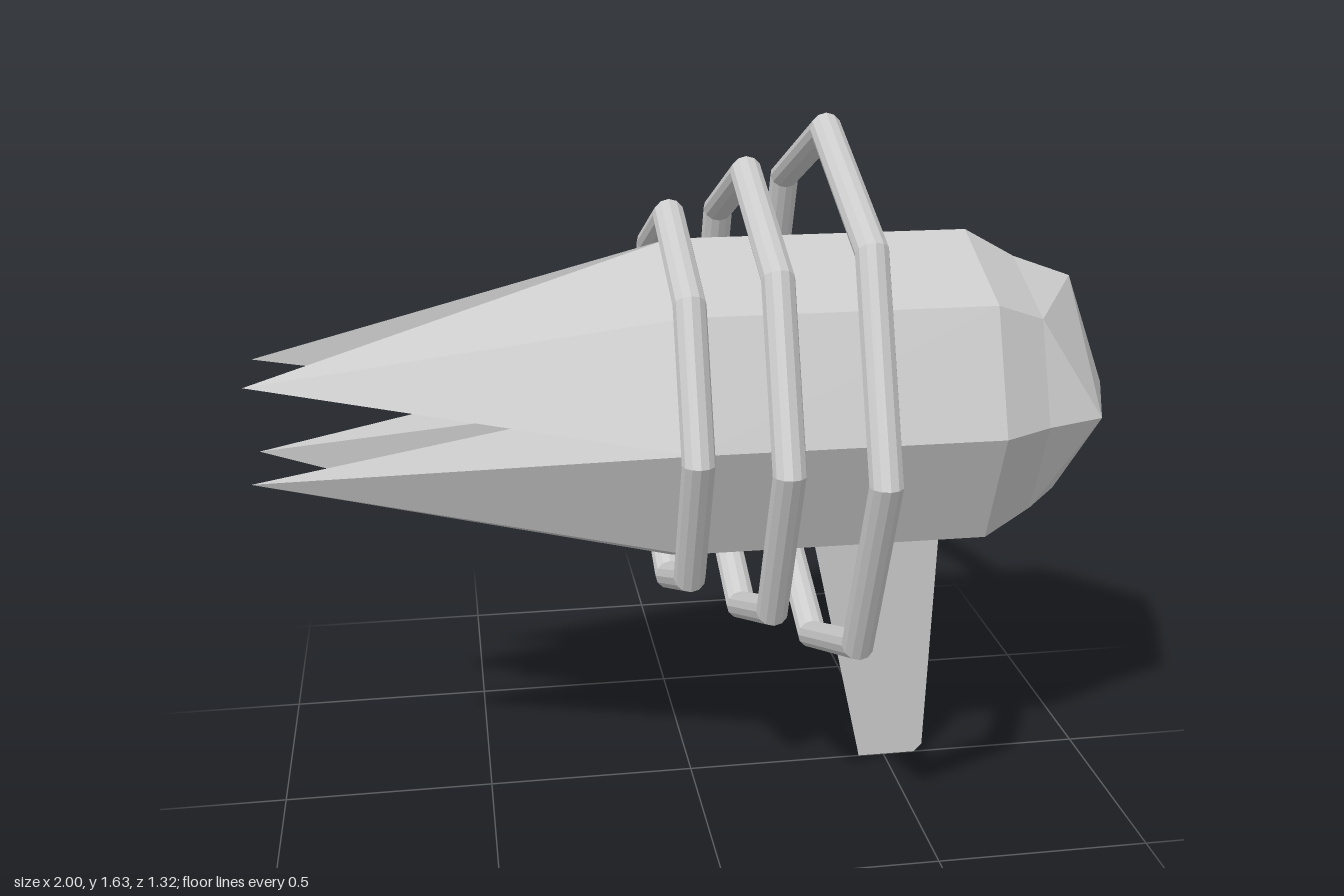
import * as THREE from 'three';

const material = new THREE.MeshStandardMaterial({ color: 0xcccccc, flatShading: true, side: THREE.DoubleSide });
const AXIS_Y = 0.975;

// Faceted mesh from a list of triangles, each three [x, y, z] corners
function facetMesh(name, triangles) {
  const geometry = new THREE.BufferGeometry();
  geometry.setAttribute('position', new THREE.Float32BufferAttribute(triangles.flat(2), 3));
  geometry.computeVertexNormals();
  const mesh = new THREE.Mesh(geometry, material);
  mesh.name = name;
  return mesh;
}

// Regular ring of points around the long x axis
function ring(x, radius, count) {
  return Array.from({ length: count }, (_, i) => {
    const a = (i / count) * Math.PI * 2;
    return [x, radius * Math.cos(a), radius * Math.sin(a)];
  });
}

// Triangles joining two loops of equal length
function bridge(a, b) {
  return a.flatMap((p, i) => {
    const j = (i + 1) % a.length;
    return [[p, a[j], b[i]], [a[j], b[j], b[i]]];
  });
}

export function createModel() {
  const model = new THREE.Group();
  const hull = new THREE.Group();
  hull.name = 'hull';
  hull.position.y = AXIS_Y;
  model.add(hull);

  const rear = ring(-0.05, 0.385, 8);
  const front = ring(0.64, 0.385, 8);
  const neck = ring(0.76, 0.318, 8);
  const tipRing = ring(0.9, 0.267, 4);
  const apex = [1, 0, 0];

  // Octagonal barrel
  hull.add(facetMesh('barrel', bridge(rear, front)));

  // Nose: tapered collar narrowing to a four-sided point
  const nose = bridge(front, neck);
  for (let q = 0; q < 4; q++) {
    const n = (q + 1) % 4;
    const diagonal = neck[2 * q + 1];
    nose.push(
      [neck[2 * q], diagonal, tipRing[q]],
      [diagonal, tipRing[n], tipRing[q]],
      [diagonal, neck[(2 * q + 2) % 8], tipRing[n]],
      [tipRing[q], tipRing[n], apex],
    );
  }
  hull.add(facetMesh('nose', nose));

  // Four tail spikes, one per quarter of the barrel
  const centre = [-0.15, 0, 0];
  for (let q = 0; q < 4; q++) {
    const a = Math.PI / 4 + (q * Math.PI) / 2;
    const tip = [-1, 0.158 * Math.cos(a), 0.158 * Math.sin(a)];
    const [v0, v1, v2] = [0, 1, 2].map((k) => rear[(2 * q + k) % 8]);
    hull.add(facetMesh('tailSpike', [[tip, v1, v0], [tip, v2, v1], [tip, centre, v2], [tip, v0, centre]]));
  }

  // Three octagonal hoops, growing toward the nose
  for (const [x, outer] of [[-0.05, 0.475], [0.125, 0.566], [0.305, 0.658]]) {
    const hoop = new THREE.Mesh(new THREE.TorusGeometry(outer - 0.036, 0.036, 12, 8), material);
    hoop.name = 'hoop';
    hoop.rotation.y = Math.PI / 2;
    hoop.position.x = x;
    hull.add(hoop);
  }

  // Support fin: flat front, ridged back, tapering to the foot
  const section = (y, points) => points.map(([x, z]) => [x, y, z]);
  const foot = section(0, [[0.435, 0], [0.58, 0], [0.575, -0.06], [0.5, -0.065], [0.445, -0.04]]);
  const ankle = section(0.02, [[0.431, 0], [0.6, 0], [0.595, -0.062], [0.5, -0.067], [0.44, -0.042]]);
  const root = section(0.66, [[0.29, 0], [0.618, 0], [0.61, -0.08], [0.47, -0.09], [0.32, -0.055]]);
  const sole = [1, 2, 3].map((i) => [foot[0], foot[i + 1], foot[i]]);
  model.add(facetMesh('supportFin', [...bridge(foot, ankle), ...bridge(ankle, root), ...sole]));

  return model;
}
